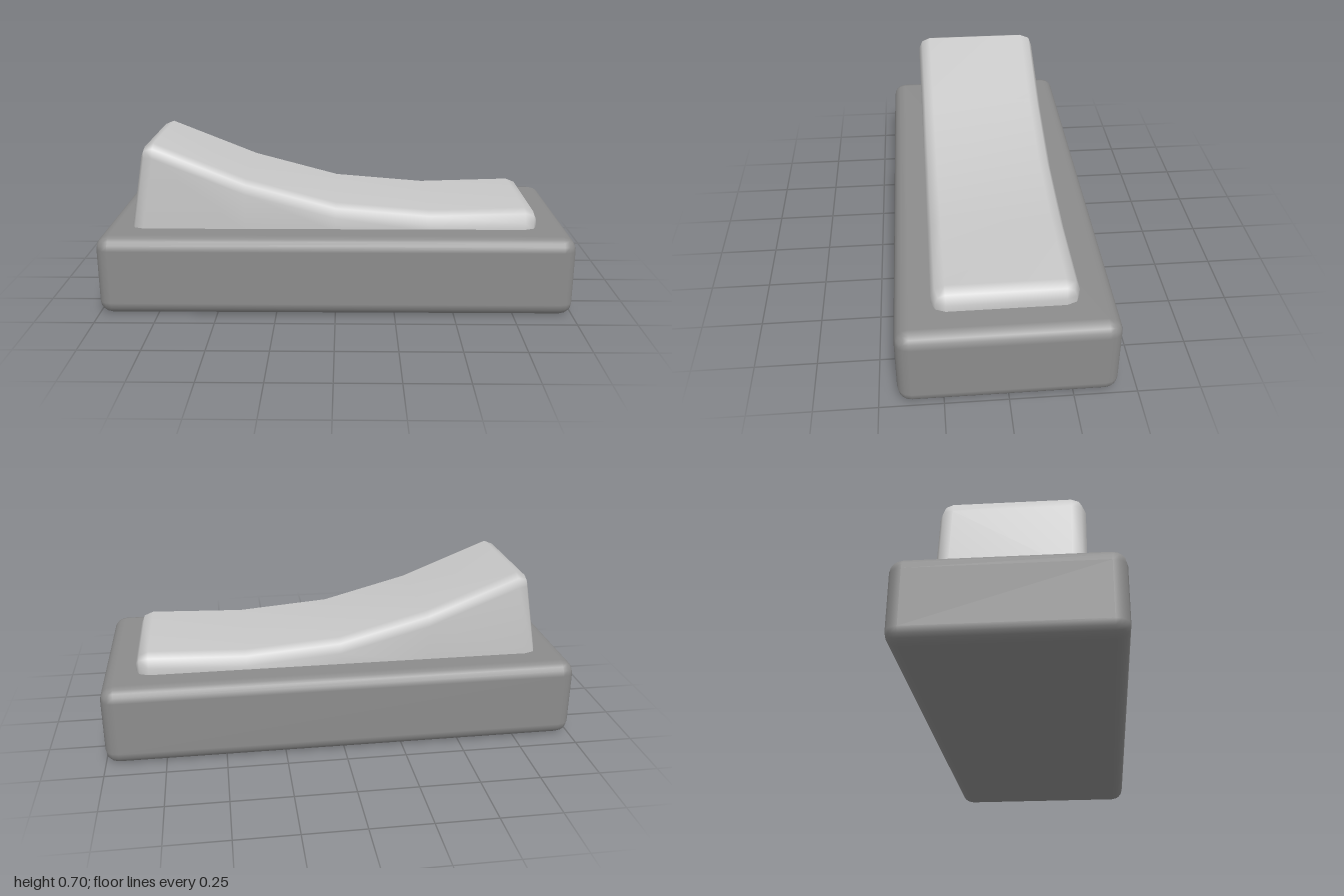
import * as THREE from 'three';
import { mergeVertices } from 'three/addons/utils/BufferGeometryUtils.js';
import { RoundedBoxGeometry } from 'three/addons/geometries/RoundedBoxGeometry.js';

const R = 0.055; // bevel radius
const BOTTOM = 0.33; // slightly sunk into the base

// Rocker: bevelled cross-sections lofted along x, closed at both ends
function rockerGeometry() {
  const flatHalf = 0.23;
  const stations = []; // x, top height before bevel, bevel scale, wall lean
  const angles = [0, Math.PI / 4, Math.PI / 2];
  for (const a of angles) stations.push([-0.765 - R * Math.cos(a), 0.645, Math.sin(a), 0.18]);
  for (const [x, top] of [[-0.38, 0.545], [0, 0.443], [0.4, 0.41]]) stations.push([x, top - R, 1, 0]);
  for (const a of [...angles].reverse()) stations.push([0.805 + R * Math.cos(a), 0.368, Math.sin(a), 0]);

  const positions = [];
  const index = [];
  for (const [x, yc, scale, lean] of stations) {
    const r = R * scale;
    const half = angles.map((a) => [flatHalf + r * Math.cos(a), yc + r * Math.sin(a)]);
    half.unshift([flatHalf + r, BOTTOM]);
    const loop = [...half, ...half.map(([z, y]) => [-z, y]).reverse()];
    for (const [z, y] of loop) positions.push(x + lean * Math.min(0, y - 0.645), y, z);
  }
  const n = 8;
  const last = (stations.length - 1) * n;
  for (let s = 0; s < last; s += n) {
    for (let j = 0; j < n - 1; j++) {
      const a = s + j, b = a + n;
      index.push(a, b, a + 1, b, b + 1, a + 1);
    }
  }
  index.push(0, 3, 4, 0, 4, 7);
  index.push(last, last + 4, last + 3, last, last + 7, last + 4);

  let geometry = new THREE.BufferGeometry();
  geometry.setAttribute('position', new THREE.Float32BufferAttribute(positions, 3));
  geometry.setIndex(index);
  geometry = mergeVertices(geometry, 1e-5);
  geometry.computeVertexNormals();
  return geometry;
}

export function createModel() {
  const group = new THREE.Group();
  group.name = 'rockerSwitch';

  const darkGrey = new THREE.MeshStandardMaterial({ color: 0x8c8c8c });
  darkGrey.name = 'darkGrey';
  const lightGrey = new THREE.MeshStandardMaterial({ color: 0xc8c8c8 });
  lightGrey.name = 'lightGrey';

  // Housing block
  const base = new THREE.Mesh(new RoundedBoxGeometry(2, 0.34, 0.855, 2, R), darkGrey);
  base.name = 'base';
  base.position.y = 0.17;
  group.add(base);

  // Curved rocker paddle
  const rocker = new THREE.Mesh(rockerGeometry(), lightGrey);
  rocker.name = 'rocker';
  group.add(rocker);

  return group;
}
